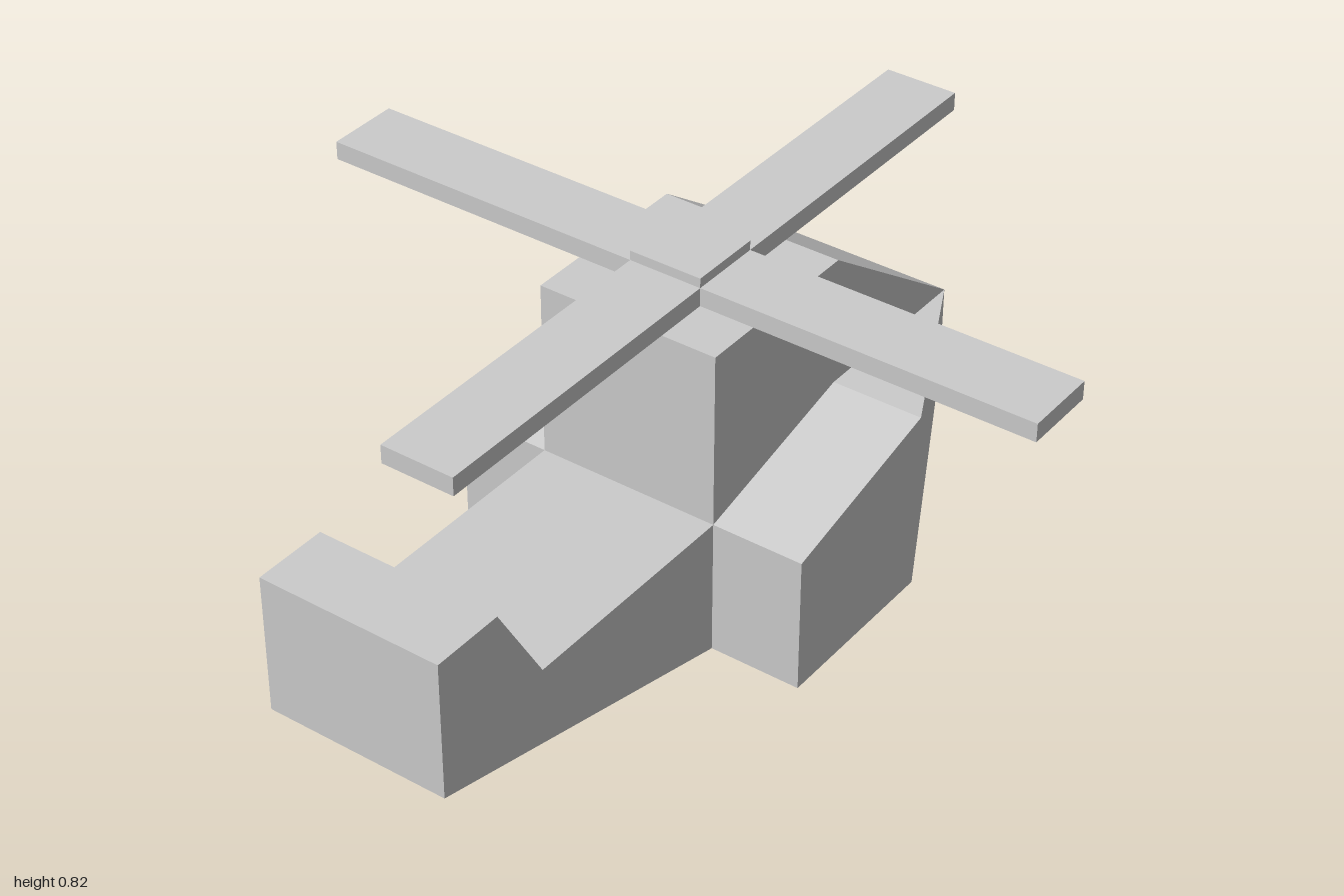
import * as THREE from 'three';
import { ConvexGeometry } from 'three/addons/geometries/ConvexGeometry.js';

const HALF = 0.222;   // half width of the fuselage
const ROTOR_Z = -0.111;

export function createModel() {
  const model = new THREE.Group();
  model.name = 'helicopter';
  const material = new THREE.MeshStandardMaterial({ color: 0xcccccc, flatShading: true });

  const add = (name, geometry, parent = model) => {
    const mesh = new THREE.Mesh(geometry, material);
    mesh.name = name;
    parent.add(mesh);
    return mesh;
  };

  // Fuselage: cabin, tail boom and tail fin as one side profile (z, y)
  const profile = [
    [1, 0.222], [1, 0.556], [0.822, 0.556], [0.689, 0.333], [0.111, 0.333], [0.111, 0.756],
    [-0.333, 0.756], [-0.778, 0.444], [-0.778, 0.222], [-0.333, 0], [0.111, 0],
  ].map(([z, y]) => new THREE.Vector2(z, y));
  const fuselage = new THREE.ExtrudeGeometry(new THREE.Shape(profile), { depth: 2 * HALF, bevelEnabled: false });
  fuselage.translate(0, 0, -HALF).rotateY(-Math.PI / 2);
  add('fuselage', fuselage);

  // Side pods: sloped top, tapering in to the nose
  for (const [name, side] of [['leftPod', 1], ['rightPod', -1]]) {
    const points = [];
    const section = (x, bottom, top, z) => points.push(
      new THREE.Vector3(side * x, bottom, z), new THREE.Vector3(side * x, top, z));
    for (const x of [HALF, 2 * HALF]) {
      section(x, 0, 0.333, 0.111);
      section(x, 0, 0.444, -0.333);
    }
    section(HALF, 0.222, 0.444, -0.778);
    add(name, new ConvexGeometry(points));
  }

  // Rotor: two crossed blades and a square hub
  const rotor = new THREE.Group();
  rotor.name = 'rotor';
  rotor.position.set(0, 0.756, ROTOR_Z);
  model.add(rotor);
  const slab = (w, h, d) => new THREE.BoxGeometry(w, h, d).translate(0, h / 2, 0);
  add('crossBlade', slab(1.778, 0.044, 0.178), rotor);
  add('longBlade', slab(0.178, 0.044, 1.778), rotor);
  add('rotorHub', slab(0.178, 0.067, 0.178), rotor);

  return model;
}
